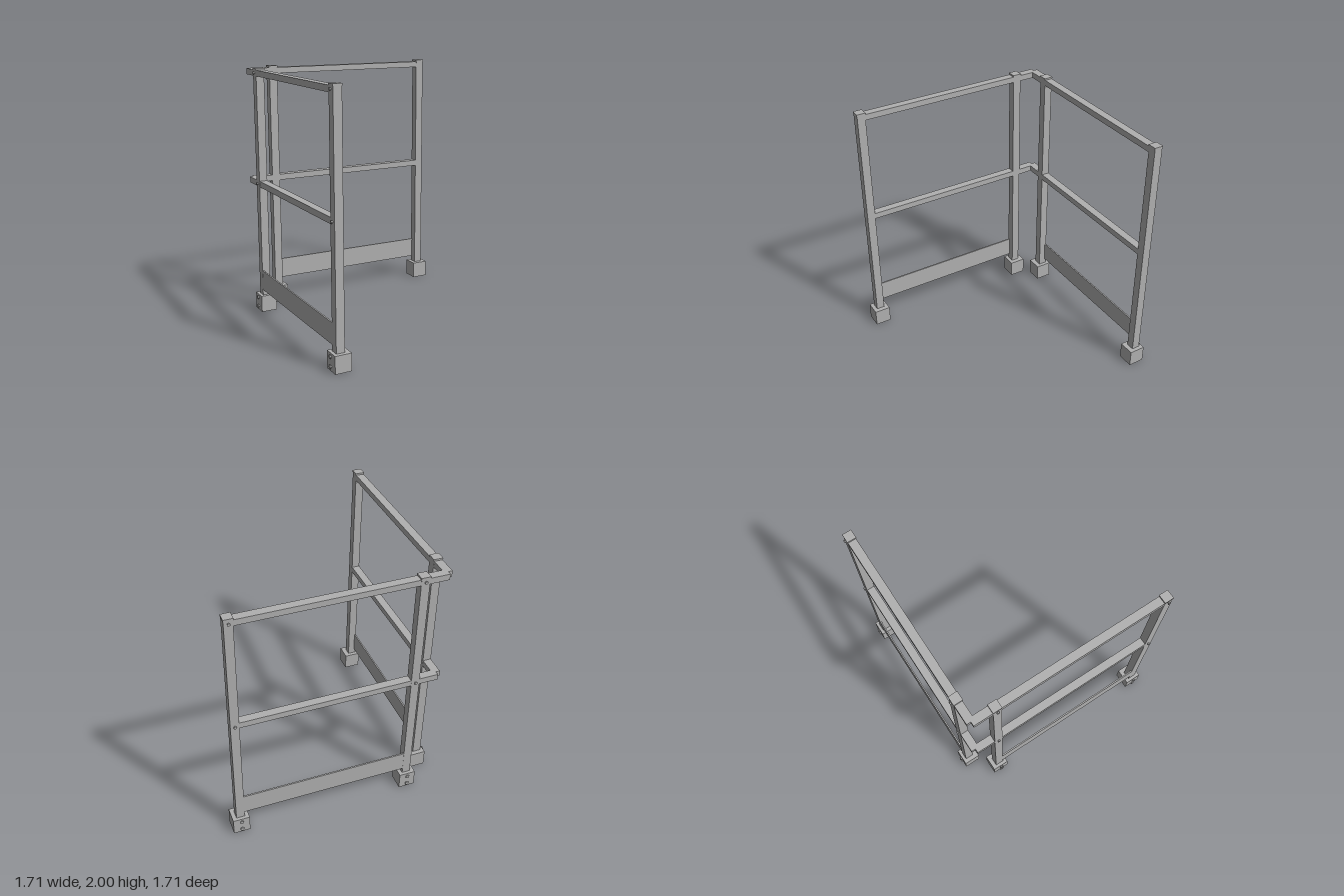
import * as THREE from 'three';

export function createModel() {
  const model = new THREE.Group();
  model.name = 'cornerGuardRail';
  const steel = new THREE.MeshStandardMaterial({ color: 0xb0b0b0 });
  steel.name = 'galvanised grey';
  steel.flatShading = true;

  const LINE = -0.787;            // centre line of a fence panel
  const POST = 0.066;

  // One straight panel; "swap" mirrors it across the corner (x <-> z)
  function panel(name, swap) {
    const g = new THREE.Group();
    g.name = name;
    const put = (mesh, part, a, y, d) => {
      mesh.name = part;
      mesh.position.set(swap ? d : a, y, swap ? a : d);
      g.add(mesh);
    };
    // box from ranges: along the panel, upwards, across the panel
    const box = (part, a0, a1, y0, y1, d0, d1) => {
      const a = a1 - a0, d = d1 - d0;
      const geo = new THREE.BoxGeometry(swap ? d : a, y1 - y0, swap ? a : d);
      put(new THREE.Mesh(geo, steel), part, (a0 + a1) / 2, (y0 + y1) / 2, (d0 + d1) / 2);
    };
    // bolt pointing outwards: thin shank and hexagonal head
    const bolt = (part, a, y, surface, r, len) => {
      [[r * 0.65, len, 0], [r, len * 0.5, len * 0.5]].forEach(([rad, l, off]) => {
        const geo = new THREE.CylinderGeometry(rad, rad, l, 6);
        if (swap) geo.rotateZ(Math.PI / 2);
        else geo.rotateX(Math.PI / 2);
        put(new THREE.Mesh(geo, steel), part, a, y, surface - off - l / 2);
      });
    };

    // posts with caps, feet and bolts
    for (const a of [-0.602, 0.785]) {
      const h = POST / 2, f = a < 0 ? -0.604 : 0.785;
      box('post', a - h, a + h, 0.1, 1.988, LINE - h, LINE + h);
      box('postCap', a - 0.036, a + 0.036, 1.986, 2, LINE - 0.036, LINE + 0.036);
      box('foot', f - 0.065, f + 0.065, 0, 0.135, -0.845, -0.715);
      for (const y of [0.035, 0.11]) bolt('footBolt', a, y, -0.845, 0.016, 0.013);
      for (const y of [1.073, 1.962]) bolt('railBolt', a, y, LINE - h, 0.012, 0.014);
    }
    // top and middle rails, running past the inner post to the corner
    for (const [y0, y1] of [[1.05, 1.098], [1.938, 1.985]]) {
      box('rail', -0.786, 0.785, y0, y1, LINE - 0.032, LINE + 0.032);
    }
    // toe board near the outer face
    box('toeBoard', -0.575, 0.76, 0.18, 0.345, LINE - 0.032, LINE - 0.02);
    model.add(g);
  }

  panel('backPanel', false);
  panel('sidePanel', true);
  return model;
}
